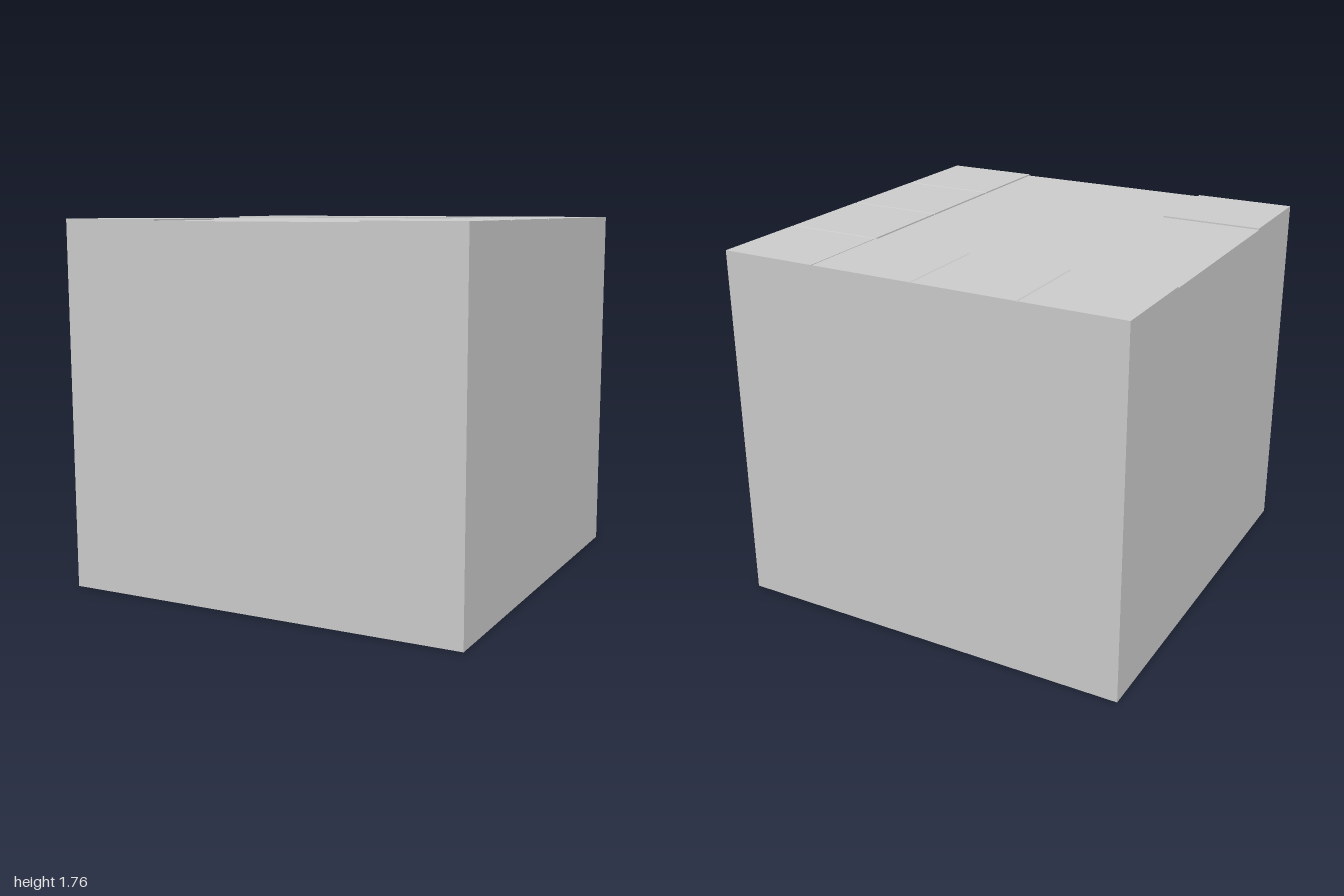
import * as THREE from 'three';

const TOP = 1.765;   // top of the raised tiles
const FLOOR = 1.758; // recessed top of the block
const GROOVE = 0.005; // half width of a groove

// Raised strip of tiles, running along x, divided by V grooves
function tileStrip(name, start, end, grooves, depth, material) {
  const shape = new THREE.Shape();
  shape.moveTo(start, FLOOR);
  shape.lineTo(end, FLOOR);
  shape.lineTo(end, TOP);
  for (const g of [...grooves].sort((a, b) => b - a)) {
    shape.lineTo(g + GROOVE, TOP);
    shape.lineTo(g, FLOOR + 0.0005);
    shape.lineTo(g - GROOVE, TOP);
  }
  shape.lineTo(start, TOP);
  const geometry = new THREE.ExtrudeGeometry(shape, { depth, bevelEnabled: false });
  const mesh = new THREE.Mesh(geometry, material);
  mesh.name = name;
  return mesh;
}

export function createModel() {
  const group = new THREE.Group();
  group.name = 'tiledBlock';
  const material = new THREE.MeshStandardMaterial({ color: 0xcccccc, flatShading: true });

  // Solid block with the recessed floor as its top
  const block = new THREE.Mesh(new THREE.BoxGeometry(2, FLOOR, 2), material);
  block.name = 'block';
  block.position.y = FLOOR / 2;
  group.add(block);

  // Three tiles along the back edge
  const backTiles = tileStrip('backTiles', -1, 0.515, [-0.505, 0.005], 0.485, material);
  backTiles.position.z = -1;
  group.add(backTiles);

  // Four tiles along the left edge, including the back corner
  const sideTiles = tileStrip('sideTiles', -1, 1, [-0.51, 0, 0.515], 0.48, material);
  sideTiles.rotation.y = Math.PI / 2;
  sideTiles.position.x = 0.52;
  group.add(sideTiles);

  // Single tile in the front right corner
  const cornerTile = tileStrip('cornerTile', -1, -0.505, [], 0.49, material);
  cornerTile.position.z = 0.51;
  group.add(cornerTile);

  return group;
}
